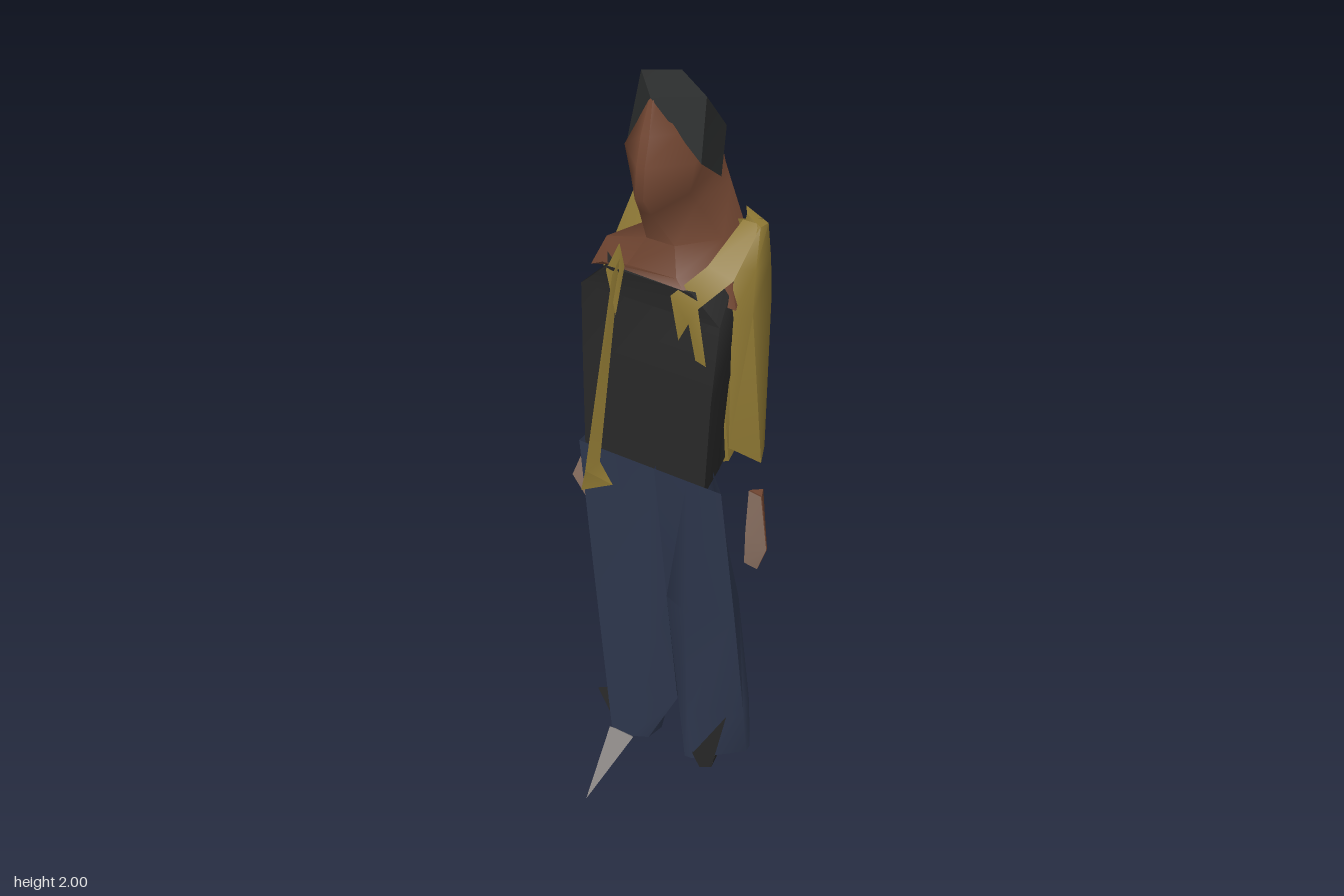
import * as THREE from 'three';
import { toCreasedNormals } from 'three/addons/utils/BufferGeometryUtils.js';

const mat = (name, color) => new THREE.MeshStandardMaterial({ name, color, side: THREE.DoubleSide });

export function createModel() {
  const model = new THREE.Group();
  const denim = mat('navy denim', 0x2f384f);
  const ochre = mat('ochre cloth', 0x8c7632);
  const black = mat('black cloth', 0x282828);
  const hairMat = mat('dark hair', 0x2b2d2d);
  const skin = mat('brown skin', 0x704531);
  const paleSkin = mat('pale brown skin', 0x8c7263);
  const grey = mat('grey shoe', 0x7d7977);

  // Sheet from a few corners and triangles, smooth across shallow folds
  function patch(name, material, pts, tris, crease = 0.8) {
    const pos = tris.flat().flatMap(i => pts[i]);
    const geo = new THREE.BufferGeometry();
    geo.setAttribute('position', new THREE.Float32BufferAttribute(pos, 3));
    const mesh = new THREE.Mesh(toCreasedNormals(geo, crease), material);
    mesh.name = name;
    model.add(mesh);
    return mesh;
  }
  // Fan over an outline
  function fan(name, material, pts) {
    const tris = [];
    for (let i = 1; i < pts.length - 1; i++) tris.push([0, i, i + 1]);
    return patch(name, material, pts, tris);
  }
  // Skin over rings [y, [x, z, lift], ...] listed from bottom to top, front points left to right
  function loft(name, material, rings, capTop = false, capBottom = false) {
    const n = rings[0].length - 1, pts = [], tris = [];
    rings.forEach(([y, ...ring]) => ring.forEach(([x, z, lift = 0]) => pts.push([x, y + lift, z])));
    for (let r = 0; r < rings.length - 1; r++) {
      for (let i = 0; i < n; i++) {
        const a = r * n + i, b = r * n + (i + 1) % n;
        tris.push([a, b, b + n], [a, b + n, a + n]);
      }
    }
    const top = (rings.length - 1) * n;
    for (let i = 1; i < n - 1; i++) {
      if (capTop) tris.push([top, top + i, top + i + 1]);
      if (capBottom) tris.push([0, i + 1, i]);
    }
    return patch(name, material, pts, tris, 1.2);
  }

  // Trousers: a three-cornered waist, the legs parting below with a fold between them
  loft('rightTrouserLeg', denim, [
    [0.09, [-0.165, 0], [-0.1, 0], [-0.06, -0.02], [-0.05, -0.07], [-0.09, -0.135], [-0.165, -0.07]],
    [0.25, [-0.17, 0.01], [-0.06, 0.005], [0.012, -0.05], [-0.02, -0.08], [-0.08, -0.14], [-0.17, -0.07]],
    [0.65, [-0.182, 0.035], [-0.04, 0.03], [0.012, 0.005], [-0.02, -0.09], [-0.07, -0.165], [-0.182, -0.06]],
    [1.08, [-0.195, 0.06], [-0.05, 0.06], [0.012, 0.06], [-0.03, -0.16], [-0.057, -0.188], [-0.195, -0.045]],
  ]);
  // The left leg twists outward to the back; its hem is torn open behind
  loft('leftTrouserLeg', denim, [
    [0.095, [0.06, -0.01], [0.08, -0.012], [0.19, -0.11], [0.188, -0.133], [0.12, -0.135, 0.17], [0.05, -0.09, 0.15]],
    [0.27, [0.012, -0.05], [0.07, 0], [0.19, -0.085], [0.185, -0.125], [0.11, -0.138], [0.03, -0.095]],
    [0.65, [0.012, 0.005], [0.08, 0.03], [0.19, -0.02], [0.165, -0.085], [0.06, -0.145], [0.01, -0.1]],
    [1.08, [0.012, 0.06], [0.1, 0.06], [0.19, 0.06], [0.11, -0.025], [0, -0.13], [-0.03, -0.16]],
  ]);

  // Shirt
  loft('shirt', black, [
    [1.05, [-0.185, 0.05], [0.14, 0.05], [0.12, -0.05], [0.107, -0.1], [-0.13, -0.085], [-0.18, -0.03]],
    [1.3, [-0.187, 0.045], [0.15, 0.045], [0.14, -0.05], [0.09, -0.1], [-0.12, -0.09], [-0.18, -0.05]],
    [1.5, [-0.188, 0.04], [0.165, 0.04], [0.17, -0.05], [0.08, -0.115], [-0.11, -0.11], [-0.185, -0.06]],
    [1.57, [-0.11, 0.05], [0.1, 0.05], [0.15, -0.04], [0.08, -0.11], [-0.1, -0.11], [-0.17, -0.04]],
  ], true);

  // Shoulders, neck and head
  loft('shouldersAndNeck', skin, [
    [1.52, [-0.195, -0.01], [-0.13, 0.04, 0.05], [0.08, 0.05, 0.05], [0.175, -0.01], [0.12, -0.13], [-0.12, -0.12]],
    [1.59, [-0.165, -0.03], [-0.06, 0.05], [0.06, 0.045], [0.14, -0.04], [0.13, -0.145], [-0.11, -0.14]],
    [1.65, [-0.065, -0.05], [-0.03, 0.02], [0.04, 0.02], [0.11, -0.06], [0.11, -0.15], [-0.02, -0.13]],
    [1.74, [-0.055, -0.01], [-0.015, 0.07], [0.015, 0.07], [0.07, -0.02], [0.075, -0.15], [-0.02, -0.12]],
    [1.78, [-0.07, 0.015], [-0.01, 0.094], [0.01, 0.094], [0.072, 0.015], [0.06, -0.15], [-0.03, -0.12]],
    [1.85, [-0.085, 0.015], [-0.01, 0.087], [0.01, 0.087], [0.085, 0.015], [0.05, -0.14], [-0.035, -0.12]],
    [1.91, [-0.05, 0.022], [-0.01, 0.07], [0.01, 0.07], [0.05, 0.022], [0.03, -0.1], [-0.03, -0.1]],
    [1.98, [-0.01, 0.035], [-0.004, 0.047], [0.004, 0.047], [0.01, 0.035], [0.01, -0.03], [-0.01, -0.03]],
  ], true);
  // Bare nape over the jacket
  fan('nape', skin, [[0.06, 1.72, -0.156], [0.11, 1.57, -0.162], [0.04, 1.54, -0.162], [-0.02, 1.6, -0.158], [0.0, 1.72, -0.152]]);

  // Hair cap, running down each side of the forehead
  patch('hair', hairMat, [
    [0, 1.985, 0.048], [0.08, 1.975, -0.035], [0, 1.88, -0.165], [-0.075, 1.995, -0.035], [0, 2.0, -0.07],
    [0.09, 1.845, 0.0], [0.08, 1.77, -0.1], [-0.09, 1.845, 0.0], [-0.075, 1.77, -0.1],
    [0.06, 1.86, -0.152], [-0.06, 1.86, -0.152],
  ], [[0, 1, 4], [0, 4, 3], [4, 1, 9], [4, 9, 2], [4, 2, 10], [4, 10, 3],
    [0, 5, 1], [1, 5, 9], [5, 6, 9], [0, 3, 7], [3, 10, 7], [7, 10, 8]]);
  // Lock covering the right of the nape
  fan('hairLock', hairMat, [[0.0, 1.87, -0.166], [-0.06, 1.87, -0.153], [-0.078, 1.8, -0.08], [-0.068, 1.64, -0.08], [-0.04, 1.61, -0.14], [0.005, 1.63, -0.164]]);

  // Jacket back, tapering to a short hem with one hanging strip
  patch('jacketBack', ochre, [
    [-0.145, 1.69, -0.14], [-0.06, 1.67, -0.146], [0.0, 1.62, -0.15], [0.17, 1.69, -0.12],
    [-0.19, 1.5, -0.11], [-0.11, 1.5, -0.145], [0.05, 1.5, -0.15], [0.19, 1.5, -0.11],
    [-0.19, 1.28, -0.08], [-0.12, 1.28, -0.108], [0.08, 1.28, -0.12], [0.17, 1.28, -0.085],
    [0.05, 1.0, -0.115], [0.09, 1.0, -0.148], [0.125, 1.07, -0.115], [0.13, 1.28, -0.1],
  ], [[0, 4, 5], [0, 5, 1], [1, 5, 2], [2, 5, 6], [2, 6, 3], [3, 6, 7],
    [4, 8, 9], [4, 9, 5], [5, 9, 10], [5, 10, 6], [6, 10, 15], [6, 15, 7], [7, 15, 11],
    [10, 12, 13], [10, 13, 15], [15, 13, 14]]);
  // Sleeves
  loft('leftSleeve', ochre, [
    [1.13, [0.15, -0.04], [0.24, -0.03], [0.215, -0.09], [0.16, -0.1]],
    [1.5, [0.165, -0.01], [0.2, -0.04], [0.2, -0.12], [0.14, -0.145]],
    [1.6, [0.15, -0.04], [0.192, -0.06], [0.195, -0.12], [0.13, -0.152]],
    [1.685, [0.13, -0.125], [0.183, -0.09], [0.188, -0.115], [0.11, -0.157]],
  ], true);
  loft('rightSleeve', ochre, [
    [1.16, [-0.238, -0.05], [-0.19, -0.03], [-0.17, -0.1], [-0.238, -0.11]],
    [1.5, [-0.195, -0.06], [-0.16, -0.05], [-0.12, -0.145], [-0.195, -0.13]],
    [1.685, [-0.145, -0.12], [-0.065, -0.145], [-0.065, -0.152], [-0.145, -0.165]],
  ], true);
  // Open front edges and lapels
  patch('rightFrontFlap', ochre, [
    [-0.08, 1.6, 0.045], [-0.092, 1.56, 0.06], [-0.147, 1.04, 0.108], [-0.138, 1.04, 0.06],
    [-0.155, 0.985, 0.115], [-0.1, 0.99, 0.065],
  ], [[0, 1, 2], [0, 2, 3], [2, 4, 5], [2, 5, 3]]);
  fan('rightLapel', ochre, [[-0.085, 1.63, 0.04], [-0.115, 1.56, 0.05], [-0.085, 1.46, 0.06], [-0.06, 1.59, 0.06]]);
  patch('leftLapel', ochre, [
    [0.18, 1.685, -0.1], [0.115, 1.62, 0.01], [0.055, 1.555, 0.06], [0.075, 1.45, 0.06], [0.1, 1.5, 0.06],
    [0.115, 1.41, 0.055], [0.14, 1.4, 0.052], [0.12, 1.54, 0.055], [0.175, 1.6, 0.005], [0.135, 1.685, -0.1],
  ], [[0, 9, 1], [0, 1, 8], [1, 2, 7], [1, 7, 8], [2, 3, 4], [2, 4, 7], [4, 5, 6], [4, 6, 7]]);

  // Hands, mirrored, with a paler front face
  for (const [side, s] of [['left', 1], ['right', -1]]) {
    const hand = loft(side + 'Hand', skin, [
      [0.81, [0.2, -0.045], [0.238, -0.04], [0.225, -0.055]],
      [0.9, [0.195, -0.055], [0.272, -0.018], [0.225, -0.07]],
      [1.02, [0.2, -0.055], [0.235, -0.05], [0.225, -0.075]],
    ], true, true);
    const front = patch(side + 'HandFront', paleSkin, [
      [0.2, 0.81, -0.041], [0.238, 0.81, -0.036], [0.272, 0.9, -0.014],
      [0.235, 1.02, -0.046], [0.2, 1.02, -0.051], [0.195, 0.9, -0.051],
    ], [[0, 1, 2], [0, 2, 5], [5, 2, 3], [5, 3, 4]]);
    hand.scale.x = front.scale.x = s;
  }

  // Pointed shoe and torn dark shoe pieces
  patch('rightShoe', grey, [
    [-0.127, 0.0, 0.185], [-0.165, 0.1, 0.01], [-0.09, 0.1, 0.01], [-0.13, 0.06, -0.03],
  ], [[0, 2, 1], [0, 1, 3], [0, 3, 2]]);
  patch('rightHeel', black, [
    [-0.165, 0.1, 0], [-0.06, 0.095, -0.02], [-0.11, 0.06, -0.05], [-0.09, 0.085, -0.115],
  ], [[0, 2, 1], [0, 3, 2], [1, 2, 3]]);
  fan('rightShoeFlap', black, [[-0.228, 0.18, -0.03], [-0.165, 0.11, -0.01], [-0.16, 0.22, -0.03]]);
  patch('leftShoe', black, [
    [0.16, 0.26, -0.05], [0.085, 0.12, -0.008], [0.1, 0.065, -0.02], [0.125, 0.06, -0.04], [0.12, 0.09, -0.11], [0.06, 0.16, -0.08],
    [0.14, 0.25, -0.11],
  ], [[0, 1, 2], [0, 2, 3], [3, 2, 4], [2, 5, 4], [1, 5, 2], [3, 4, 6]]);
  // Bare ankles behind the hems
  patch('ankles', skin, [
    [0.14, 0.33, -0.157], [0.12, 0.23, -0.14], [0.01, 0.275, -0.125], [-0.08, 0.33, -0.155], [-0.075, 0.22, -0.148], [0.01, 0.245, -0.125],
  ], [[0, 1, 5], [0, 5, 2], [2, 5, 4], [2, 4, 3]]);

  return model;
}
